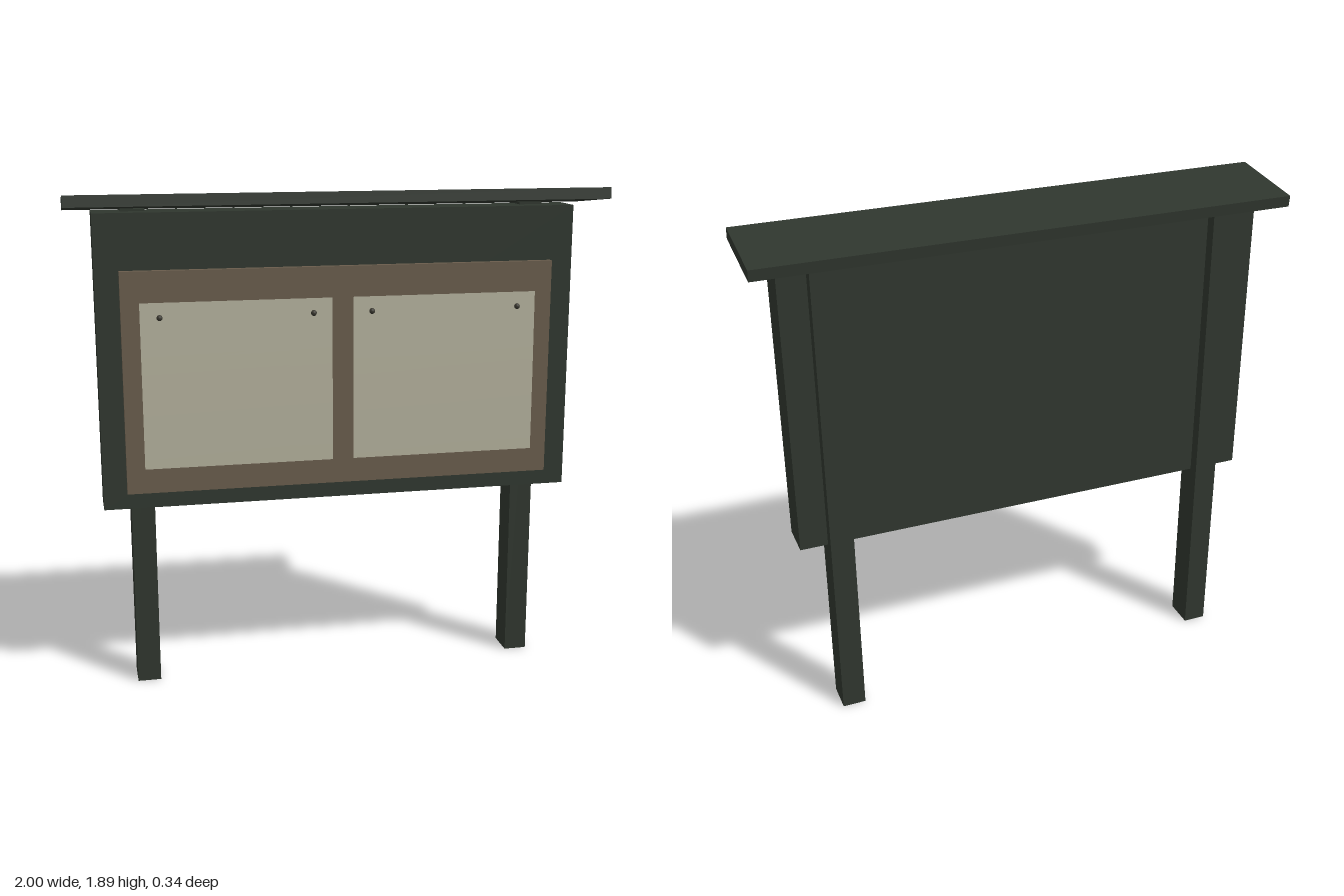
import * as THREE from 'three';

const material = (name, color, side = THREE.FrontSide) => {
  const m = new THREE.MeshStandardMaterial({ color, side });
  m.name = name;
  return m;
};

export function createModel() {
  const green = material('dark green paint', 0x2f362e);
  const brown = material('brown cork', 0x695c4c);
  const cream = material('aged paper', 0xb2af9b, THREE.DoubleSide);
  const metal = material('dark pin metal', 0x3c3a32);

  const group = new THREE.Group();
  group.name = 'noticeBoard';

  const add = (name, geometry, mat, x, y, z) => {
    const mesh = new THREE.Mesh(geometry, mat);
    mesh.name = name;
    mesh.position.set(x, y, z);
    group.add(mesh);
    return mesh;
  };
  // Box given by its low and high corners
  const box = (name, mat, [x0, y0, z0], [x1, y1, z1]) =>
    add(name, new THREE.BoxGeometry(x1 - x0, y1 - y0, z1 - z0), mat,
      (x0 + x1) / 2, (y0 + y1) / 2, (z0 + z1) / 2);

  // Cabinet and the cork panel on its front
  box('cabinet', green, [-0.9, 0.727, -0.09], [0.9, 1.82, 0.048]);
  box('corkPanel', brown, [-0.813, 0.79, 0.04], [0.813, 1.615, 0.073]);

  // Sloping roof, higher at the front
  const roof = add('roof', new THREE.BoxGeometry(2, 0.042, 0.333), green, 0, 1.854, 0);
  roof.rotation.x = -0.105;

  // Slightly bowed sheet, standing further off the cork at the bottom
  const paperGeometry = new THREE.PlaneGeometry(0.706, 0.615, 1, 8);
  const p = paperGeometry.attributes.position;
  for (let i = 0; i < p.count; i++) {
    const t = 0.5 - p.getY(i) / 0.615;
    p.setZ(i, 0.008 * Math.sin(t * Math.PI / 2));
  }
  paperGeometry.computeVertexNormals();

  const pinGeometry = new THREE.SphereGeometry(0.011, 12, 8);

  for (const [side, s] of [['left', 1], ['right', -1]]) {
    // Post fixed to the back of the cabinet
    const post = box(side + 'Post', green, [-0.044, 0, -0.133], [0.044, 1.828, -0.018]);
    post.position.x = s * 0.752;

    // Notice with a pin in each top corner
    add(side + 'Notice', paperGeometry, cream, s * 0.393, 1.194, 0.081);
    for (const x of [0.11, 0.675]) {
      add(side + 'Pin', pinGeometry, metal, s * x, 1.447, 0.085);
    }
  }

  return group;
}
